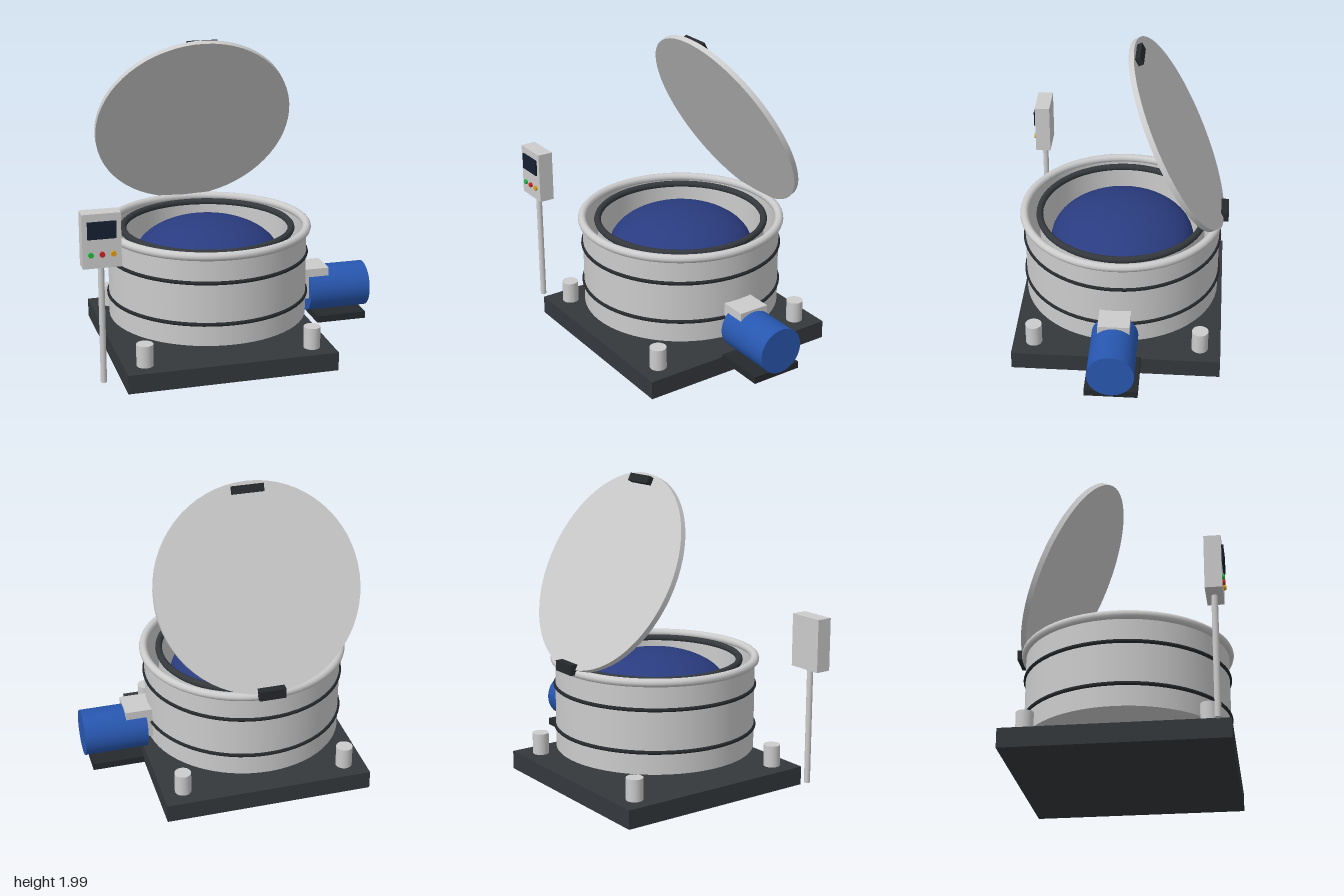
import * as THREE from 'three';

const CX = -0.077, CZ = 0.008; // drum axis

const paint = (color) => new THREE.MeshStandardMaterial({ color });
const grey = paint(0xcccccc);
const greyOpen = new THREE.MeshStandardMaterial({ color: 0xcccccc, side: THREE.DoubleSide });
const dark = paint(0x34383c);
const black = paint(0x26292c);
const blue = paint(0x2857b0);
const navy = paint(0x2a3c80);

export function createModel() {
  const model = new THREE.Group();
  model.name = 'centrifuge';

  const add = (name, geometry, material, x, y, z, parent = model) => {
    const mesh = new THREE.Mesh(geometry, material);
    mesh.name = name;
    mesh.position.set(x, y, z);
    parent.add(mesh);
    return mesh;
  };
  const box = (w, h, d) => new THREE.BoxGeometry(w, h, d);
  const cyl = (r, h, n = 32) => new THREE.CylinderGeometry(r, r, h, n);
  const ring = (name, radius, tube, y, material) => {
    const mesh = add(name, new THREE.TorusGeometry(radius, tube, 12, 64), material, CX, y, CZ);
    mesh.rotation.x = Math.PI / 2;
  };
  // open vessel: outer wall, lip, inner wall and floor, with sharp corners
  const vessel = (name, r, y0, y1, wall, material) => {
    const group = new THREE.Group();
    group.name = name;
    group.position.set(CX, 0, CZ);
    model.add(group);
    const corners = [[0, y0], [r, y0], [r, y1], [r - wall, y1], [r - wall, y0 + wall], [0, y0 + wall]];
    for (let i = 0; i < corners.length - 1; i++) {
      const pair = [corners[i], corners[i + 1]].map(([a, b]) => new THREE.Vector2(a, b));
      add(name + 'Surface', new THREE.LatheGeometry(pair, 64), material, 0, 0, 0, group);
    }
  };

  // base plate and damper feet
  add('basePlate', box(1.344, 0.12, 1.344), dark, CX, 0.06, CZ);
  for (const sx of [-1, 1]) {
    for (const sz of [-1, 1]) {
      add('damperFoot', cyl(0.053, 0.145), grey, CX + sx * 0.538, 0.1875, CZ + sz * 0.538);
    }
  }

  // outer drum with rolled rim and two bands
  vessel('drum', 0.638, 0.235, 0.812, 0.015, greyOpen);
  ring('drumRim', 0.64, 0.027, 0.812, grey);
  for (const y of [0.375, 0.642]) ring('drumBand', 0.639, 0.012, y, black);

  // inner basket and domed core
  vessel('basket', 0.54, 0.3, 0.8, 0.015, greyOpen);
  ring('basketRim', 0.54, 0.022, 0.8, dark);
  const dome = add('domedCore', new THREE.SphereGeometry(0.47, 48, 32), navy, CX, 0.602, CZ);
  dome.scale.y = 0.25 / 0.47;

  // opened lid, tilted back, with handle and hinge
  const lid = new THREE.Group();
  lid.name = 'lid';
  lid.position.set(CX, 1.405, -0.343);
  lid.rotation.x = -THREE.MathUtils.degToRad(63);
  model.add(lid);
  add('lidDisc', cyl(0.65, 0.035, 64), grey, 0, 0, 0, lid);
  add('lidHandle', box(0.2, 0.035, 0.05), black, 0, 0.035, -0.6, lid);
  // the handle sits on the edge that points up when the lid is open
  lid.rotation.x = -THREE.MathUtils.degToRad(63);
  lid.children[1].position.z = 0.6;
  add('lidHinge', box(0.17, 0.064, 0.064), black, CX, 0.84, -0.652);

  // drive motor on its mounting plate
  add('motor', cyl(0.148, 0.41, 48), blue, 0.795, 0.31, CZ).rotation.z = Math.PI / 2;
  add('motorPlate', box(0.335, 0.045, 0.335), black, 0.797, 0.142, CZ);
  add('motorCoupling', box(0.255, 0.203, 0.2), grey, 0.5975, 0.3715, CZ);

  // control panel on a pole
  const PX = -0.884;
  add('panelPole', cyl(0.019, 0.76, 24), grey, PX, 0.45, 0.61);
  add('panelBox', box(0.232, 0.332, 0.1), grey, PX, 0.981, 0.611);
  add('panelScreen', box(0.172, 0.105, 0.012), paint(0x152030), PX, 1.048, 0.667);
  [0x22bb44, 0xcc2222, 0xe0a010].forEach((color, i) => {
    const button = add('panelButton', cyl(0.016, 0.016, 20), paint(color), PX + (i - 1) * 0.067, 0.9, 0.667);
    button.rotation.x = Math.PI / 2;
  });

  // the lid swings about its hinge: outer face to the back, handle edge on top
  lid.rotation.x = -THREE.MathUtils.degToRad(63);
  lid.children[1].position.z = 0.6;
  return model;
}
